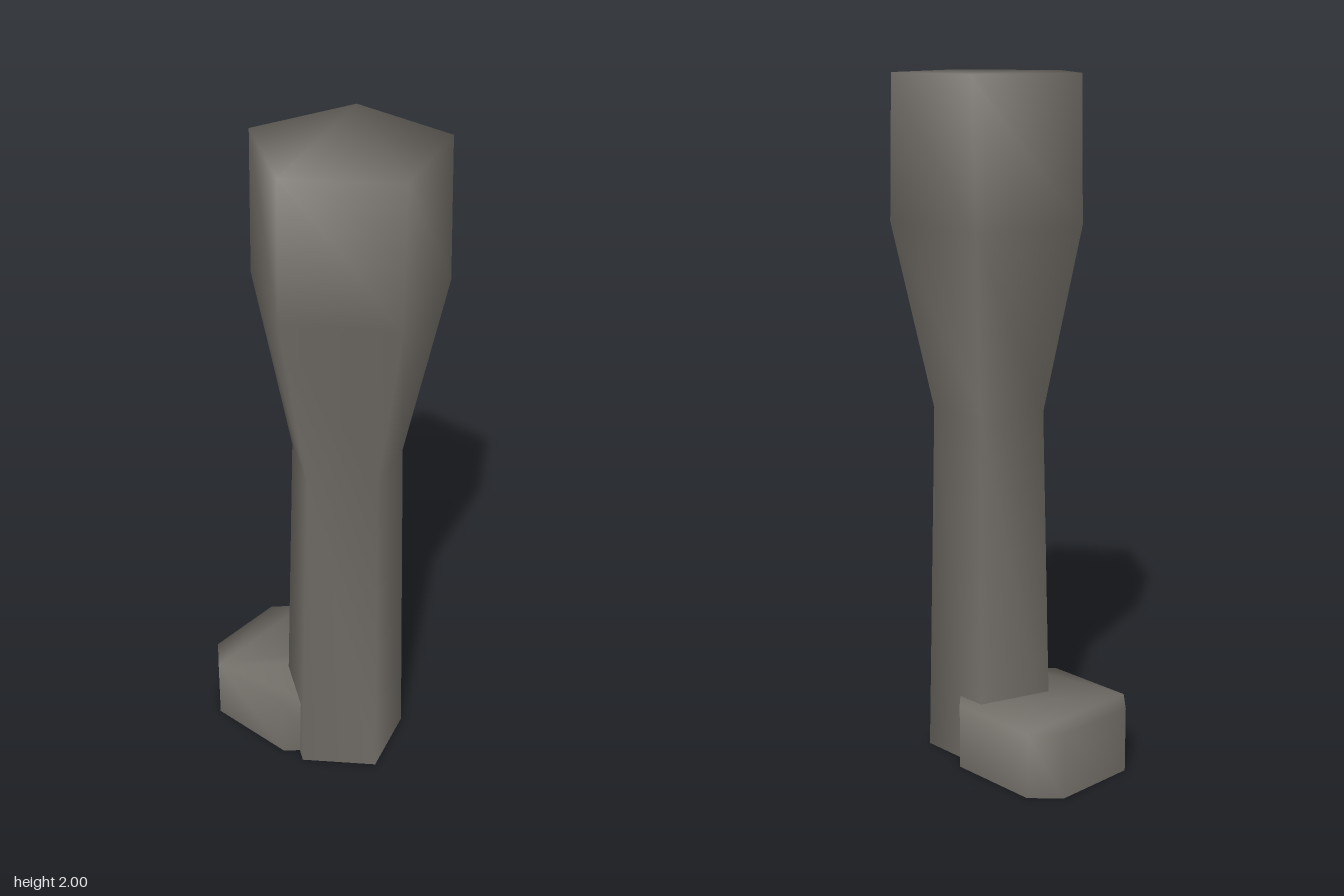
import * as THREE from 'three';

const material = new THREE.MeshStandardMaterial({ color: 0x716d67, side: THREE.DoubleSide });

// Skin stacked rings of [x, y, z] points, capped on top and open below, with shared smooth normals
function loft(name, rings) {
  const n = rings[0].length;
  const index = [];
  for (let r = 0; r < rings.length - 1; r++) {
    for (let i = 0; i < n; i++) {
      const a = r * n + i, b = r * n + (i + 1) % n;
      index.push(a, a + n, b + n, a, b + n, b);
    }
  }
  const top = (rings.length - 1) * n;
  for (let i = 1; i < n - 1; i++) index.push(top, top + i + 1, top + i);

  const geometry = new THREE.BufferGeometry();
  geometry.setAttribute('position', new THREE.Float32BufferAttribute(rings.flat(2), 3));
  geometry.setIndex(index);
  geometry.computeVertexNormals();
  const mesh = new THREE.Mesh(geometry, material);
  mesh.name = name;
  return mesh;
}

// Regular five-sided ring around the leg axis
function pentagon(y, radius) {
  return Array.from({ length: 5 }, (_, i) => {
    const angle = (i * 72 - 36) * Math.PI / 180;
    return [0.027 + radius * Math.cos(angle), y, 0.081 + radius * Math.sin(angle)];
  });
}

// Horizontal ring from [x, z] points
const level = (y, points) => points.map(([x, z]) => [x, y, z]);

export function createModel() {
  const model = new THREE.Group();
  model.name = 'leg';

  // Shin narrowing to the knee, then flaring into the thigh, whose left side is wider at its lower edge
  model.add(loft('legColumn', [
    pentagon(0, 0.194),
    pentagon(1.05, 0.168),
    level(1.59, [[0.25, -0.097], [0.25, 0.258], [-0.066, 0.345], [-0.25, 0.08], [-0.073, -0.182]]),
    level(2, [[0.25, -0.083], [0.25, 0.243], [-0.066, 0.345], [-0.25, 0.08], [-0.064, -0.184]]),
  ]));

  // Foot block with cut corners
  const outline = [
    [-0.176, -0.27], [-0.102, -0.345], [0.155, -0.345], [0.228, -0.27],
    [0.228, 0.01], [0.155, 0.085], [-0.102, 0.085], [-0.176, 0.01],
  ];
  model.add(loft('foot', [level(0, outline), level(0.195, outline)]));

  return model;
}
